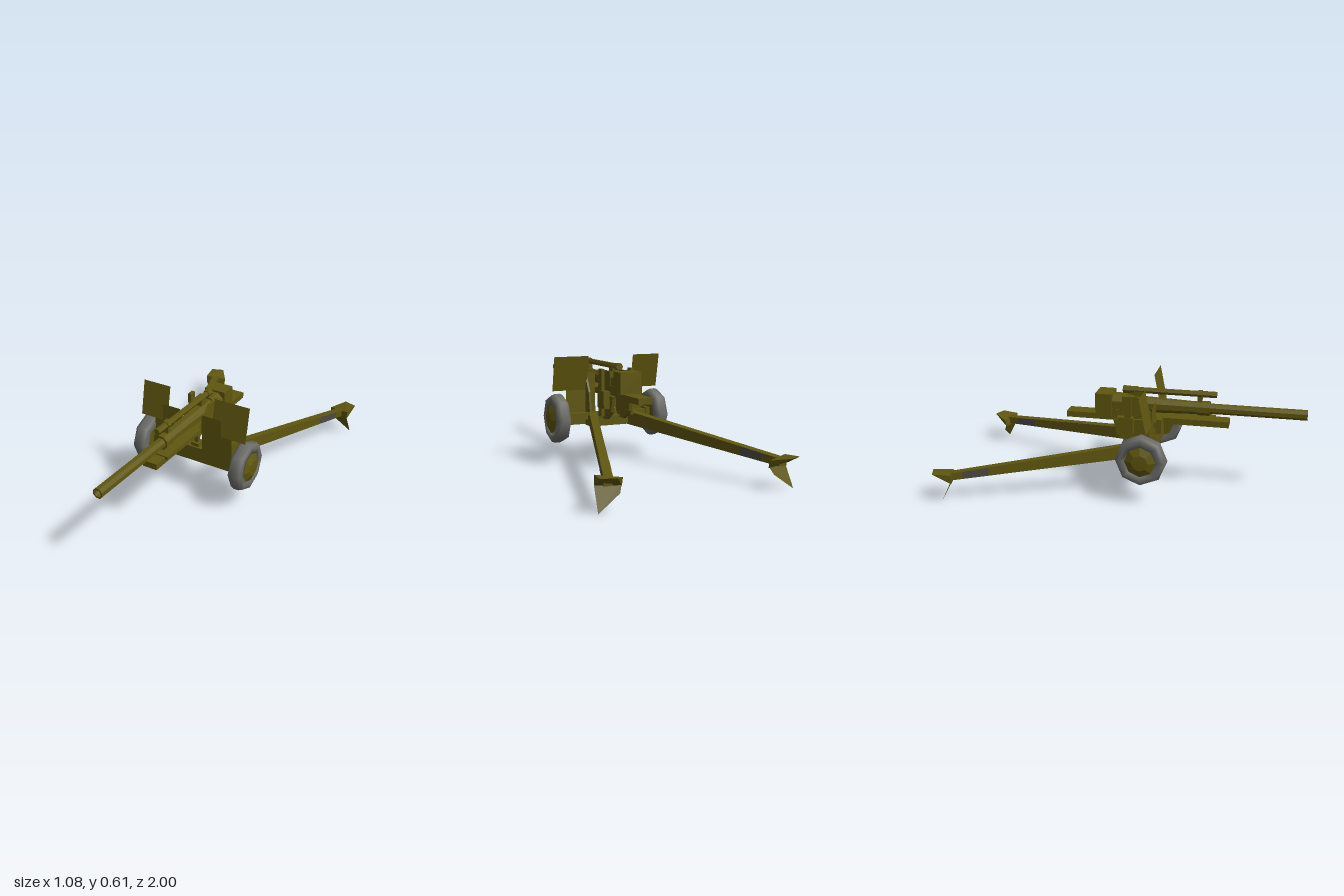
import * as THREE from 'three';
import { ConvexGeometry } from 'three/addons/geometries/ConvexGeometry.js';

export function createModel() {
  const model = new THREE.Group();
  const olive = new THREE.MeshStandardMaterial({ color: 0x5f560f, side: THREE.DoubleSide });
  olive.name = 'olive paint';
  const rubber = new THREE.MeshStandardMaterial({ color: 0x6b6b67 });
  rubber.name = 'tyre grey';
  const wornSteel = new THREE.MeshStandardMaterial({ color: 0x4d4a42 });
  wornSteel.name = 'worn steel';

  const add = (name, geometry, material = olive) => {
    const mesh = new THREE.Mesh(geometry, material);
    mesh.name = name;
    model.add(mesh);
    return mesh;
  };
  const flat = (geometry) => {
    const g = geometry.index ? geometry.toNonIndexed() : geometry;
    g.computeVertexNormals();
    return g;
  };
  const vectors = (pts) => pts.map(([a, b]) => new THREE.Vector2(a, b));
  // Box given by its limits on each axis
  const box = (name, x0, x1, y0, y1, z0, z1) =>
    add(name, new THREE.BoxGeometry(x1 - x0, y1 - y0, z1 - z0)
      .translate((x0 + x1) / 2, (y0 + y1) / 2, (z0 + z1) / 2));
  // Faceted turned part along z, profile of [radius, z]
  const turned = (name, pts, y, sides = 8) =>
    add(name, flat(new THREE.LatheGeometry(vectors(pts), sides, Math.PI / sides)
      .rotateX(Math.PI / 2).translate(0, y, 0)));
  // Slab with a side outline of [z, y]
  const sideSlab = (name, pts, x, thick) =>
    add(name, new THREE.ExtrudeGeometry(new THREE.Shape(vectors(pts)), { depth: thick, bevelEnabled: false })
      .rotateY(-Math.PI / 2).translate(x + thick / 2, 0, 0));
  // Thin sheet with a front outline of [x, y]
  const sheet = (name, pts, z) =>
    add(name, new THREE.ShapeGeometry(new THREE.Shape(vectors(pts))).translate(0, 0, z));

  // Barrel with jacket, collar and hollow muzzle
  turned('barrel', [[0, -0.08], [0.058, -0.08], [0.058, 0], [0.048, 0], [0.046, 0.1], [0.036, 0.38],
    [0.036, 0.4], [0.041, 0.4], [0.041, 0.47], [0.029, 0.47], [0.029, 1], [0.02, 1], [0.02, 0.85], [0, 0.85]], 0.473);
  box('breechRing', -0.064, 0.064, 0.415, 0.537, -0.175, -0.08);

  // Recoil cylinder above the barrel
  turned('recoilCylinder', [[0, -0.025], [0.022, -0.025], [0.022, 0.015], [0.017, 0.015], [0.017, 0.4],
    [0.022, 0.4], [0.022, 0.425], [0.018, 0.425], [0.018, 0.505], [0, 0.505]], 0.555, 6);
  box('cylinderBracketFront', -0.015, 0.015, 0.5, 0.55, 0.4, 0.425);
  box('cylinderBracketRear', -0.015, 0.015, 0.51, 0.55, 0.04, 0.09);

  // Cradle, its flanges and trunnion cheeks
  box('cradle', -0.043, 0.043, 0.38, 0.414, -0.35, 0.58);
  box('cradleFlange', -0.058, 0.058, 0.402, 0.42, 0, 0.5);
  box('breechSupport', -0.058, 0.058, 0.41, 0.45, -0.08, 0.06);
  for (const s of [-1, 1]) {
    sideSlab('trunnionCheek', [[0.17, 0.41], [0.07, 0.53], [-0.02, 0.53], [-0.02, 0.41]], s * 0.05, 0.015);
    sideSlab('mountCheek', [[0.12, 0.4], [0.12, 0.25], [0.02, 0.25], [-0.05, 0.3], [-0.07, 0.39]], s * 0.055, 0.02);
    box('sidePost', s * 0.093 - 0.01, s * 0.093 + 0.01, 0.27, 0.543, 0, 0.04);
    box('postBlock', s * 0.088 - 0.018, s * 0.088 + 0.018, 0.32, 0.42, -0.04, 0.05);
    sideSlab('shieldBrace', [[0.168, 0.27], [0.165, 0.48], [0.12, 0.4], [0.1, 0.27]], s * 0.125, 0.012);
  }

  // Elevating gear
  box('elevatingColumn', -0.012, 0.012, 0.28, 0.39, 0.1, 0.124);
  box('elevatingBase', -0.024, 0.024, 0.255, 0.3, 0.085, 0.14);

  // Carriage body and axle
  box('carriageBody', -0.14, 0.14, 0.205, 0.265, 0.07, 0.15);
  box('axle', -0.26, 0.29, 0.24, 0.28, 0.11, 0.15);
  box('axleStubRight', -0.262, -0.235, 0.23, 0.29, 0.105, 0.165);
  box('axleStubLeft', 0.25, 0.29, 0.23, 0.29, 0.105, 0.165);

  // Wheels: eight-sided tyres with domed hubs
  for (const [s, x] of [[-1, -0.296], [1, 0.322]]) {
    const place = (g) => g.rotateZ(-s * Math.PI / 2).translate(x, 0.256, 0.137);
    add('tyre', place(new THREE.LatheGeometry(vectors([[0.085, -0.036], [0.115, -0.041], [0.135, -0.034],
      [0.1425, -0.015], [0.1425, 0.015], [0.135, 0.034], [0.115, 0.041], [0.085, 0.036],
      [0.085, -0.036]]), 8)), rubber);
    add('hub', flat(place(new THREE.LatheGeometry(vectors([[0, -0.03], [0.086, -0.03], [0.086, 0.036],
      [0.045, 0.054], [0, 0.055]]), 8))));
  }

  // Shield: notched lower sheet, inner panels and swept upper flaps
  sheet('lowerShield', [[-0.242, 0.205], [0.254, 0.205], [0.254, 0.41], [0.068, 0.41], [0.068, 0.28],
    [0.045, 0.235], [-0.04, 0.235], [-0.062, 0.28], [-0.062, 0.41], [-0.242, 0.41]], 0.17);
  for (const [x0, x1] of [[-0.187, -0.062], [0.068, 0.189]]) {
    sheet('innerShieldPanel', [[x0, 0.25], [x1, 0.25], [x1, 0.505], [x1 - 0.01, 0.515],
      [x0 + 0.01, 0.515], [x0, 0.505]], 0.175);
  }
  for (const [x0, x1] of [[-0.335, -0.161], [0.125, 0.337]]) {
    const flap = new THREE.PlaneGeometry(x1 - x0, 0.204);
    flap.rotateX(-Math.atan2(0.04, 0.2)).translate((x0 + x1) / 2, 0.51, 0.15);
    add('upperShieldFlap', flap);
  }
  box('sightBox', -0.152, -0.078, 0.36, 0.44, 0.19, 0.22);
  box('sightBoxMount', -0.13, -0.1, 0.385, 0.415, 0.17, 0.19);

  // Trails: tapering beams swept outwards to the rear
  const trailPart = (s, t0, t1, extraWidth, heightScale) => {
    const g = new THREE.BoxGeometry(1, 1, 1);
    const p = g.attributes.position;
    const mix = THREE.MathUtils.lerp;
    for (let i = 0; i < p.count; i++) {
      const t = p.getZ(i) > 0 ? t0 : t1;
      p.setXYZ(i,
        s * mix(0.113, 0.475, t) + p.getX(i) * (0.046 + extraWidth),
        mix(0.245, 0.138, t) + p.getY(i) * mix(0.08, 0.04, t) * heightScale,
        mix(0.1, -0.92, t));
    }
    return flat(g);
  };
  for (const s of [-1, 1]) {
    add('trail', trailPart(s, 0, 1, 0, 1));
    add('trailBand', trailPart(s, 0.78, 0.91, 0.003, 0.96), wornSteel);

    // Spade: wedge-shaped cap with a slanting digging blade
    const corner = ([x, y, z]) => new THREE.Vector3(s * x, y, z);
    add('spadeCap', new ConvexGeometry([[0.4, 0.15, -0.912], [0.466, 0.17, -1], [0.54, 0.17, -0.973],
      [0.524, 0.165, -0.873], [0.402, 0.11, -0.905], [0.524, 0.115, -0.873]].map(corner)));
    const blade = new THREE.BufferGeometry().setFromPoints([[0.402, 0.12, -0.905], [0.42, 0.08, -0.925],
      [0.533, 0, -0.937], [0.402, 0.12, -0.905], [0.533, 0, -0.937], [0.526, 0.12, -0.873]].map(corner));
    add('spadeBlade', flat(blade));
  }
  return model;
}
